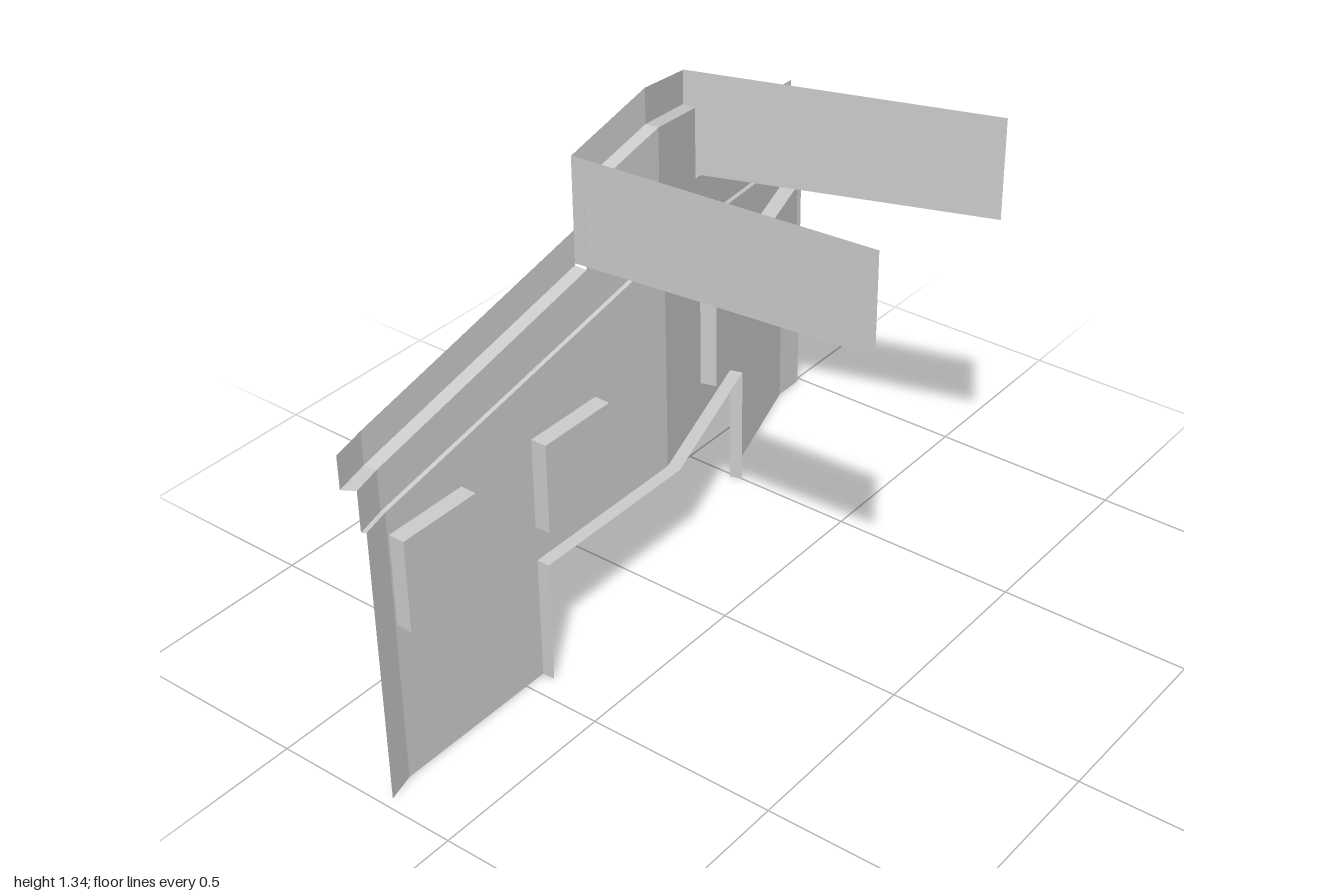
import * as THREE from 'three';
import { mergeGeometries } from 'three/addons/utils/BufferGeometryUtils.js';

const V = (x, y, z) => new THREE.Vector3(x, y, z);
const mat = new THREE.MeshStandardMaterial({ color: 0xcccccc, side: THREE.DoubleSide });

// Plan of the bent facade as [x, z], from the +z end to the -z end
const WALL = [[-0.19, 0.975], [-0.21, 0.9], [-0.21, -0.045], [-0.49, -0.9], [-0.49, -0.985]];
const CORNICE = [[-0.23, 1], [-0.255, 0.905], [-0.255, -0.04], [-0.54, -0.905], [-0.54, -1]];
const ring = (t) => WALL.map(([x, z], i) => [
  THREE.MathUtils.lerp(x, CORNICE[i][0], t), THREE.MathUtils.lerp(z, CORNICE[i][1], t)]);
const FRIEZE = ring(0.25);

// x of a plan at a given z
function xAt(plan, z) {
  let i = 0;
  while (i < plan.length - 2 && z < plan[i + 1][1]) i++;
  const [a, b] = [plan[i], plan[i + 1]];
  return a[0] + (b[0] - a[0]) * (z - a[1]) / (b[1] - a[1]);
}

// Height of a gable line: flat at both ends, sloping up to the bend
function gable(plan, z, [eave, peak]) {
  const end = z > plan[2][1] ? plan[1][1] : plan[3][1];
  const t = (z - plan[2][1]) / (end - plan[2][1]);
  return peak + (eave - peak) * Math.min(1, t);
}

// A gable line over a plan between two z limits
function line(plan, heights, from = 9, to = -9) {
  const zs = plan.map((p) => p[1]).filter((z) => z < from && z > to);
  if (from < 9) zs.unshift(from);
  if (to > -9) zs.push(to);
  return zs.map((z) => V(xAt(plan, z), gable(plan, z, heights), z));
}

// Surface through successive lines with equal point counts
function loft(...lines) {
  const pos = [];
  for (let k = 0; k < lines.length - 1; k++) {
    const [a, b] = [lines[k], lines[k + 1]];
    for (let i = 0; i < a.length - 1; i++)
      for (const p of [a[i], b[i], a[i + 1], b[i], b[i + 1], a[i + 1]]) pos.push(p.x, p.y, p.z);
  }
  const g = new THREE.BufferGeometry();
  g.setAttribute('position', new THREE.Float32BufferAttribute(pos, 3));
  g.computeVertexNormals();
  return g;
}

export function createModel() {
  const group = new THREE.Group();
  const add = (name, geometry) => {
    const mesh = new THREE.Mesh(geometry, mat);
    mesh.name = name;
    group.add(mesh);
  };

  // Gable line heights as [eave, peak]
  const friezeLow = [0.73, 0.935], friezeTop = [0.835, 1.065], corniceTop = [0.92, 1.155];
  const capLow = [1.02, 1.25], capTop = [1.1, 1.34];
  const doorA = 0.44, doorB = -0.49, doorTop = 0.335;
  const sill = 0.43, head = 0.67;
  const windows = [[0.895, 0.67], [0.44, 0.217], [-0.275, -0.487], [-0.697, -0.898]];

  // Wall: one flat sheet per plan segment, with window holes and the gate cut out
  const sheets = [];
  for (let i = 0; i < 4; i++) {
    const z0 = WALL[i][1], z1 = WALL[i + 1][1];
    const top = (z) => gable(WALL, z, friezeLow);
    const pts = [[z0, top(z0)], [z1, top(z1)]];
    if (i === 1) pts.push([z1, doorTop], [doorA, doorTop], [doorA, 0], [z0, 0]);
    else if (i === 2) pts.push([z1, 0], [doorB, 0], [doorB, doorTop], [z0, doorTop]);
    else pts.push([z1, 0], [z0, 0]);
    const shape = new THREE.Shape(pts.map((p) => new THREE.Vector2(...p)));
    for (const [a, b] of windows) if (a <= z0 && b >= z1)
      shape.holes.push(new THREE.Path([[a, sill], [a, head], [b, head], [b, sill]]
        .map((p) => new THREE.Vector2(...p))));
    const g = new THREE.ShapeGeometry(shape);
    const p = g.attributes.position;
    for (let k = 0; k < p.count; k++) {
      const z = p.getX(k);
      p.setXYZ(k, xAt(WALL, z), p.getY(k), z);
    }
    g.computeVertexNormals();
    sheets.push(g);
  }
  add('facadeWall', mergeGeometries(sheets));

  // Recessed windows: four reveals and a back pane
  const inward = (z, d) => (z > WALL[2][1] ? V(d, 0, 0) : V(0.95 * d, 0, -0.31 * d));
  windows.forEach(([a, b], i) => {
    const front = [[a, sill], [a, head], [b, head], [b, sill]].map(([z, y]) => V(xAt(WALL, z), y, z));
    const back = front.map((p) => p.clone().add(inward(a, 0.042)));
    add('windowReveal' + (i + 1), loft([...back, back[0]], [...front, front[0]]));
    add('windowPane' + (i + 1), loft([back[0], back[3]], [back[1], back[2]]));
  });

  // Gate reveal: jambs and soffit
  const bend = WALL[2][1];
  const gate = [[doorA, 0], [doorA, doorTop], [bend, doorTop], [doorB, doorTop], [doorB, 0]]
    .map(([z, y]) => V(xAt(WALL, z), y, z));
  const gateBack = gate.map((p, i) => p.clone().add(
    i === 2 ? V(0.034, 0, -0.006) : inward(p.z, 0.034)));
  add('gateReveal', loft(gateBack, gate));

  // Frieze with its small lower lip
  add('frieze', loft(line(WALL, friezeLow), line(FRIEZE, friezeLow), line(FRIEZE, friezeTop)));

  // Cornices either side of the central parapet: soffit and fascia
  const pA = 0.218, pB = -0.275;
  for (const [name, from, to] of [['corniceStraightSide', 9, pA], ['corniceAngledSide', pB, -9]])
    add(name, loft(line(FRIEZE, friezeTop, from, to), line(CORNICE, friezeTop, from, to),
      line(CORNICE, corniceTop, from, to)));

  // Central parapet and its projecting cap
  add('parapet', loft(line(FRIEZE, friezeTop, pA, pB), line(FRIEZE, capLow, pA, pB)));
  add('parapetCap', loft(line(FRIEZE, capLow, pA, pB), line(CORNICE, capLow, pA, pB),
    line(CORNICE, capTop, pA, pB)));

  // Thin side panels running back from the parapet
  const panel = (name, x0, z0, x1, z1, topEnd) => add(name, loft(
    [V(x0, 1.007, z0), V(x1, 1.05, z1)], [V(x0, 1.276, z0), V(x1, topEnd, z1)]));
  panel('parapetSideStraight', -0.255, pA, 0.54, 0.2, 1.3);
  panel('parapetSideAngled', xAt(CORNICE, pB), pB, 0.435, -0.46, 1.305);

  return group;
}
